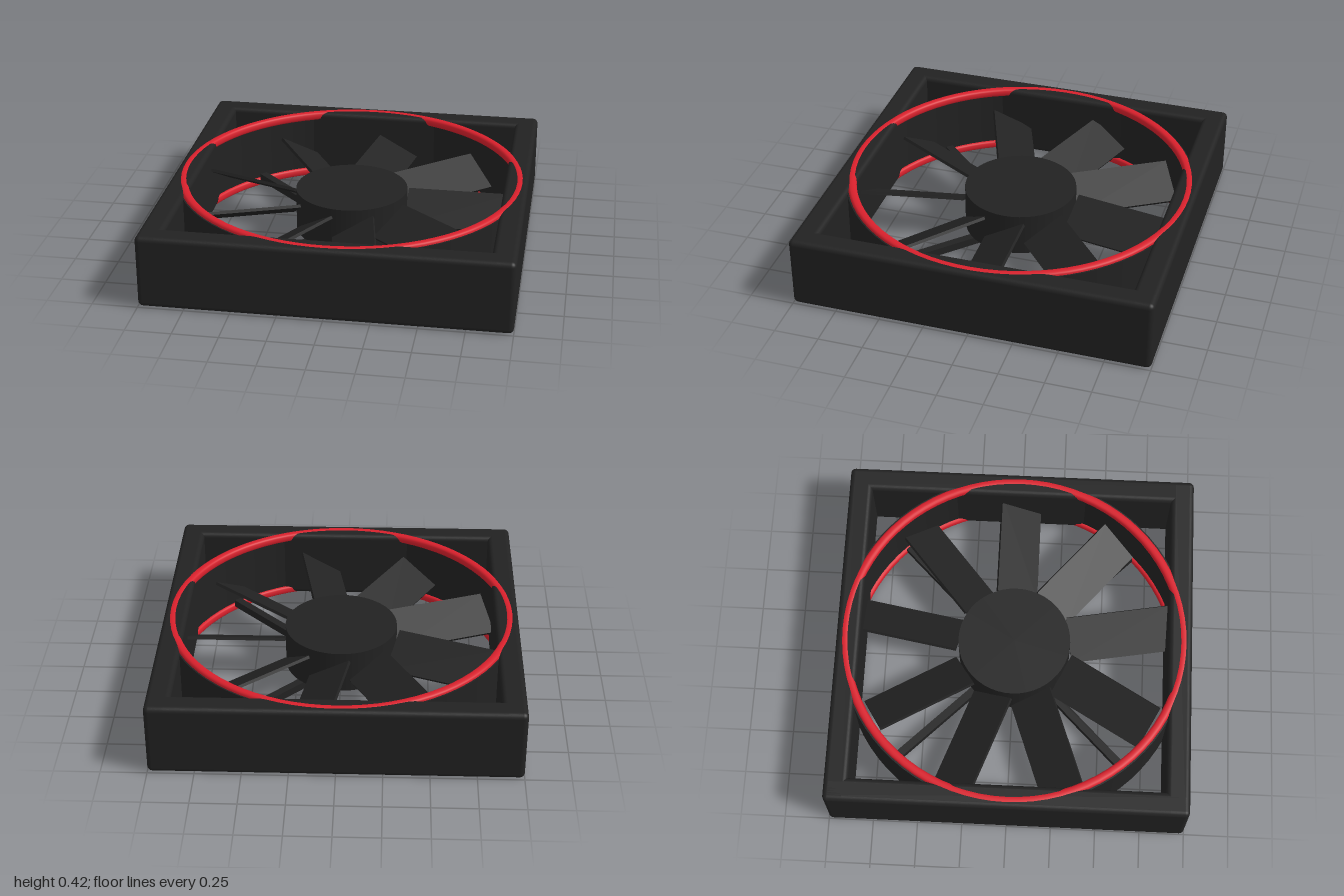
import * as THREE from 'three';
import { RoundedBoxGeometry } from 'three/addons/geometries/RoundedBoxGeometry.js';

const HEIGHT = 0.417;
const black = new THREE.MeshStandardMaterial({ color: 0x222222 });
black.name = 'black plastic';
const red = new THREE.MeshStandardMaterial({ color: 0xd8202c });
red.name = 'red trim';

function add(parent, name, geometry, material) {
  const mesh = new THREE.Mesh(geometry, material);
  mesh.name = name;
  parent.add(mesh);
  return mesh;
}

// Ring with a softly squared section, so its crown lies flat on the frame
function trimRing(radius, half) {
  const points = [];
  const soften = (v) => Math.sign(v) * Math.pow(Math.abs(v), 0.75) * half;
  for (let i = 0; i <= 16; i++) {
    const a = (i / 16) * Math.PI * 2;
    points.push(new THREE.Vector2(radius + soften(Math.cos(a)), soften(Math.sin(a))));
  }
  return new THREE.LatheGeometry(points, 80);
}

// Upright tube with flat ends, standing on y = 0
function tubeWall(outer, inner, height) {
  const shape = new THREE.Shape().absarc(0, 0, outer, 0, Math.PI * 2, false);
  shape.holes.push(new THREE.Path().absarc(0, 0, inner, 0, Math.PI * 2, true));
  const geometry = new THREE.ExtrudeGeometry(shape, { depth: height, bevelEnabled: false, curveSegments: 40 });
  return geometry.rotateX(-Math.PI / 2);
}

export function createModel() {
  const model = new THREE.Group();
  model.name = 'coolingFan';

  // Square frame of four rounded walls
  const frame = new THREE.Group();
  frame.name = 'frame';
  model.add(frame);
  const wallHeight = HEIGHT - 0.006;
  const wallGeometry = new RoundedBoxGeometry(2, wallHeight, 0.133, 4, 0.028);
  ['frontWall', 'leftWall', 'backWall', 'rightWall'].forEach((name, i) => {
    const a = (i * Math.PI) / 2;
    const wall = add(frame, name, wallGeometry, black);
    wall.position.set(Math.sin(a) * 0.9335, HEIGHT / 2, Math.cos(a) * 0.9335);
    wall.rotation.y = a;
  });

  // Round air duct inside the frame
  add(model, 'duct', tubeWall(0.985, 0.945, HEIGHT - 0.04), black).position.y = 0.02;

  // Red trim at both ends of the duct
  const ringGeometry = trimRing(0.952, 0.025);
  add(model, 'topRing', ringGeometry, red).position.y = HEIGHT - 0.025;
  add(model, 'bottomRing', ringGeometry, red).position.y = 0.025;

  // Hub and nine pitched blades
  const rotor = new THREE.Group();
  rotor.name = 'rotor';
  model.add(rotor);
  add(rotor, 'hub', new THREE.CylinderGeometry(0.317, 0.317, 0.245, 48), black).position.y = 0.2025;
  const bladeGeometry = new THREE.BoxGeometry(0.585, 0.017, 0.262);
  for (let i = 0; i < 9; i++) {
    const arm = new THREE.Group();
    arm.name = 'bladeArm' + (i + 1);
    arm.rotation.y = (i / 9) * Math.PI * 2;
    rotor.add(arm);
    const blade = add(arm, 'blade', bladeGeometry, black);
    blade.position.set(0.6075, 0.22, 0);
    blade.rotation.x = Math.PI / 6;
  }

  // Diagonal struts carrying the hub
  const strutGeometry = new THREE.BoxGeometry(1.85, 0.045, 0.045);
  for (const side of [-1, 1]) {
    const strut = add(model, 'strut', strutGeometry, black);
    strut.position.y = 0.0575;
    strut.rotation.y = (side * Math.PI) / 4;
  }

  return model;
}
